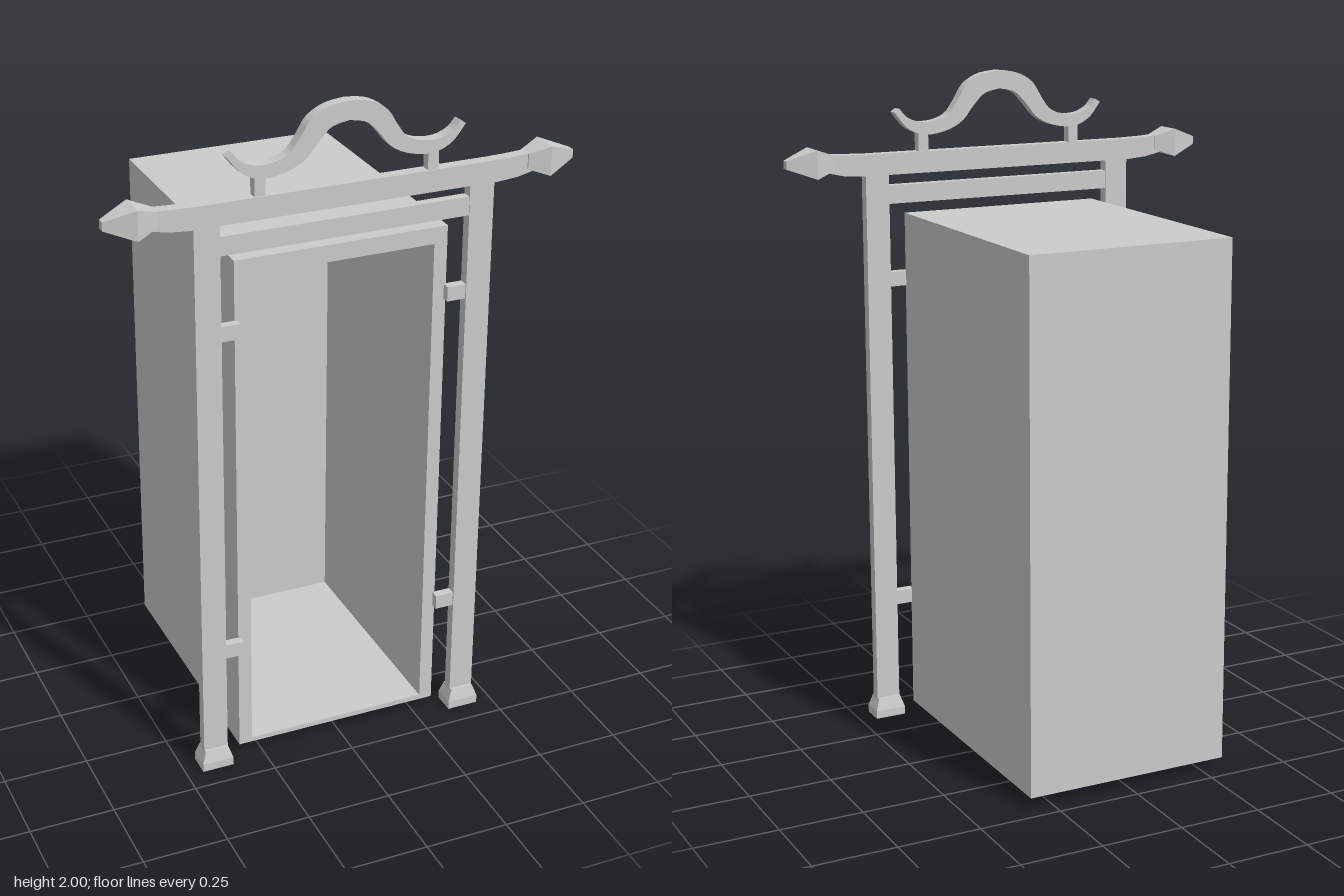
import * as THREE from 'three';

const MID_Z = 0.401; // plane of the gate frame

export function createModel() {
  const model = new THREE.Group();
  const mat = new THREE.MeshStandardMaterial({ color: 0xcccccc, flatShading: true });

  const add = (name, geo, x = 0, y = 0, z = 0) => {
    const mesh = new THREE.Mesh(geo, mat);
    mesh.name = name;
    mesh.position.set(x, y, z);
    model.add(mesh);
    return mesh;
  };
  // Box given by its limits
  const block = (name, x0, x1, y0, y1, z0, z1) =>
    add(name, new THREE.BoxGeometry(x1 - x0, y1 - y0, z1 - z0), (x0 + x1) / 2, (y0 + y1) / 2, (z0 + z1) / 2);
  const plate = (shape, depth, curveSegments = 12) =>
    new THREE.ExtrudeGeometry(shape, { depth, bevelEnabled: false, curveSegments });
  const rect = (Type, x0, x1, y0, y1) =>
    new Type([[x0, y0], [x1, y0], [x1, y1], [x0, y1]].map((p) => new THREE.Vector2(...p)));
  // Square frustum along y, given by half widths
  const frustum = (top, bottom, height) =>
    new THREE.CylinderGeometry(top * Math.SQRT2, bottom * Math.SQRT2, height, 4).rotateY(Math.PI / 4);

  // Hollow cabinet, open at the front
  const shell = rect(THREE.Shape, -0.318, 0.316, 0.03, 1.59);
  shell.holes.push(rect(THREE.Path, -0.278, 0.276, 0.045, 1.54));
  add('cabinetWalls', plate(shell, 0.71), 0, 0, -0.32);
  block('cabinetBack', -0.318, 0.316, 0.03, 1.59, -0.445, -0.32);

  // Main beam with upswept ends
  const half = [[0.45, 1.707], [0.51, 1.712], [0.58, 1.728], [0.58, 1.778], [0.5, 1.773], [0.43, 1.771]];
  const outline = [...half, ...half.slice().reverse().map(([x, y]) => [-x, y])];
  add('mainBeam', plate(new THREE.Shape(outline.map((p) => new THREE.Vector2(...p))), 0.036), 0, 0, MID_Z - 0.018);
  block('lowerBeam', -0.37, 0.37, 1.62, 1.675, MID_Z - 0.014, MID_Z + 0.014);

  // Curved crest: lower edge, horn tip and upper edge of one half
  const crest = new THREE.Shape();
  const low = [[0, 1.946], [0.05, 1.934], [0.088, 1.898], [0.125, 1.855], [0.18, 1.828], [0.25, 1.82], [0.305, 1.843], [0.344, 1.89]];
  const high = [[0.328, 1.9], [0.305, 1.875], [0.265, 1.859], [0.215, 1.86], [0.17, 1.878], [0.14, 1.917], [0.11, 1.962], [0.06, 1.991], [0, 2]];
  const vec = (pts, side) => pts.map(([x, y]) => new THREE.Vector2(side * x, y));
  crest.moveTo(0, 1.946);
  crest.splineThru(vec(low.slice(1), 1));
  crest.lineTo(...high[0]);
  crest.splineThru(vec(high.slice(1), 1));
  crest.splineThru(vec(high.slice(0, -1).reverse(), -1));
  crest.lineTo(-0.344, 1.89);
  crest.splineThru(vec(low.slice(0, -1).reverse(), -1));
  add('crest', plate(crest, 0.034, 3), 0, 0, MID_Z - 0.017);

  for (const s of [-1, 1]) {
    const side = s > 0 ? 'left' : 'right';
    const px = s * 0.403;

    // Post and flared foot
    block(side + 'Post', px - 0.037, px + 0.037, 0.05, 1.715, MID_Z - 0.016, MID_Z + 0.016);
    block(side + 'Foot', px - 0.048, px + 0.048, 0, 0.025, MID_Z - 0.034, MID_Z + 0.034);
    const taper = frustum(0.025, 0.034, 0.037);
    taper.scale(1.41, 1, 1);
    add(side + 'FootTaper', taper, px, 0.0435, MID_Z);

    // Bars joining the posts to the cabinet
    for (const y of [0.383, 1.392]) {
      const x0 = s > 0 ? 0.31 : -0.37;
      block(side + 'Bar', x0, x0 + 0.06, y - 0.022, y + 0.022, MID_Z - 0.015, MID_Z + 0.012);
    }

    // Arrow-shaped beam finial: flare, then blunt point
    const flare = frustum(0.043, 0.022, 0.06).rotateZ(-s * Math.PI / 2);
    add(side + 'FinialFlare', flare, s * 0.57, 1.753, MID_Z);
    const point = frustum(0.012, 0.043, 0.085).rotateZ(-s * Math.PI / 2);
    add(side + 'FinialPoint', point, s * 0.6425, 1.753, MID_Z);

    // Crest support
    const sx = s * 0.252;
    block(side + 'CrestSupport', sx - 0.016, sx + 0.016, 1.765, 1.84, MID_Z - 0.014, MID_Z + 0.014);
  }
  return model;
}
